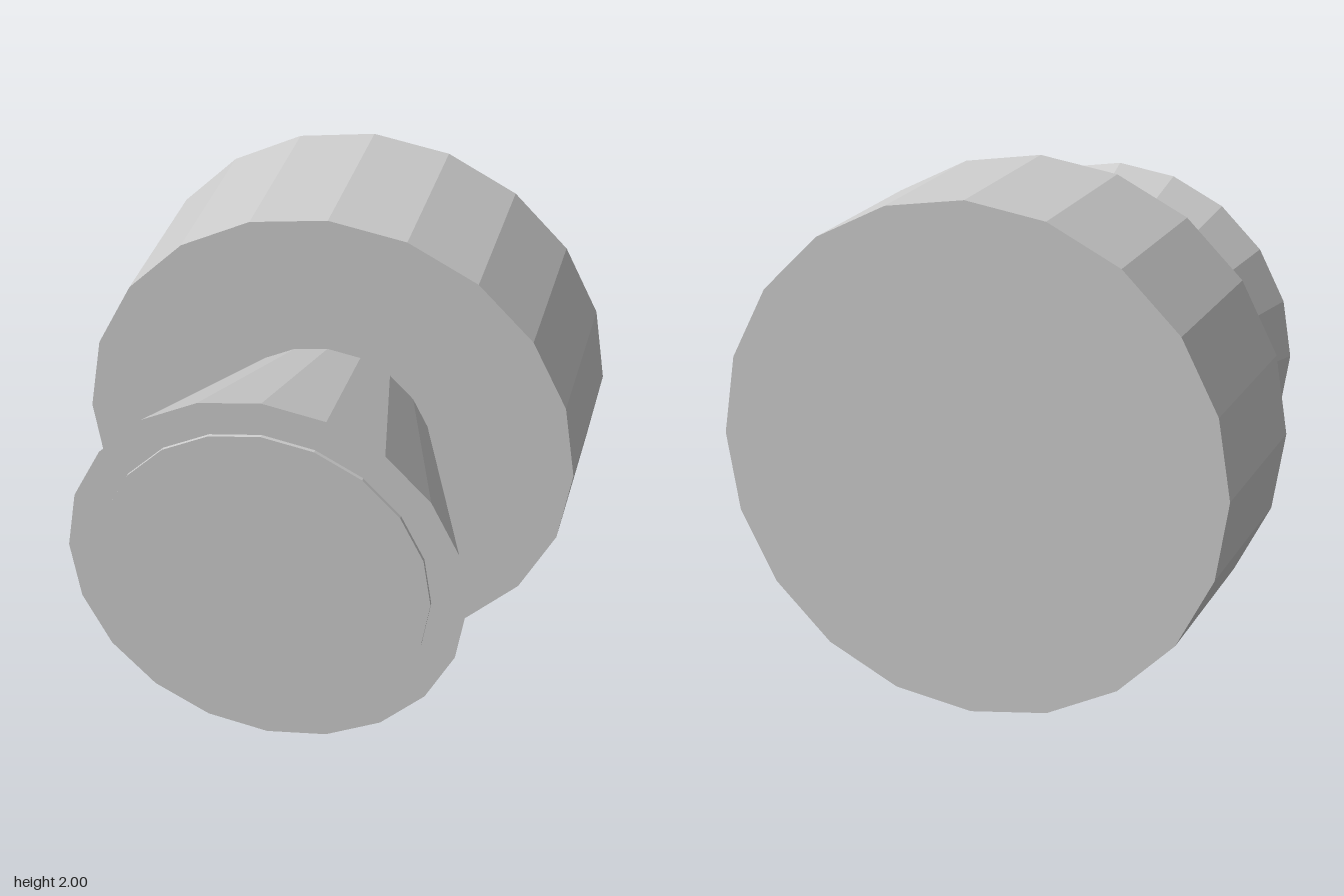
import * as THREE from 'three';

const SIDES = 20;

export function createModel() {
  const group = new THREE.Group();
  const grey = new THREE.MeshStandardMaterial({ color: 0xcccccc });
  grey.name = 'light grey';

  // Flat-sided round part along z, from zBack to zFront
  function addRound(name, rFront, rBack, zBack, zFront) {
    const geometry = new THREE.CylinderGeometry(rFront, rBack, zFront - zBack, SIDES)
      .rotateX(Math.PI / 2)
      .translate(0, 1, (zFront + zBack) / 2)
      .toNonIndexed();
    geometry.computeVertexNormals(); // one normal per facet
    const mesh = new THREE.Mesh(geometry, grey);
    mesh.name = name;
    group.add(mesh);
  }

  addRound('base', 1, 1, -0.84, -0.095);
  addRound('flaredNeck', 0.765, 0.43, -0.095, 0.826);
  addRound('frontDisc', 0.632, 0.632, 0.82, 0.84);

  return group;
}
